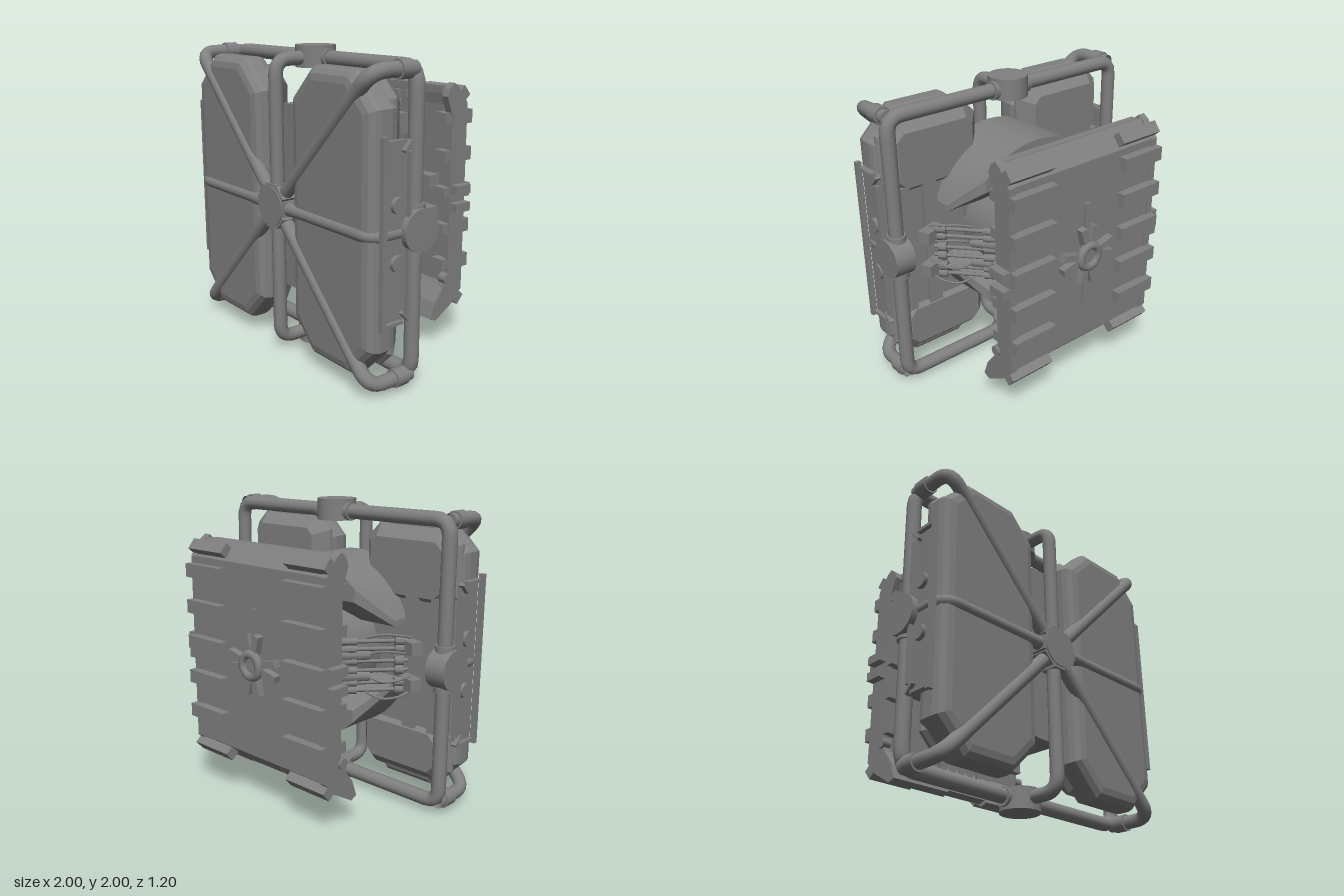
import * as THREE from 'three';

const mat = new THREE.MeshStandardMaterial({ color: 0x808080, side: THREE.DoubleSide });
const V = (x, y, z) => new THREE.Vector3(x, y, z);
const SIDES = [-1, 1];

export function createModel() {
  const root = new THREE.Group();

  function add(name, geo, x = 0, y = 0, z = 0) {
    const m = new THREE.Mesh(geo, mat);
    m.name = name;
    m.position.set(x, y, z);
    root.add(m);
    return m;
  }
  const box = (name, w, h, d, x, y, z) => add(name, new THREE.BoxGeometry(w, h, d), x, y, z);

  // straight cylinder between two points
  function rod(name, a, b, r, sides = 10, rEnd = r) {
    const m = add(name, new THREE.CylinderGeometry(rEnd, r, a.distanceTo(b), sides));
    m.position.lerpVectors(a, b, 0.5);
    m.quaternion.setFromUnitVectors(V(0, 1, 0), b.clone().sub(a).normalize());
    return m;
  }

  // pipe through corner points with rounded bends
  function pipe(name, pts, r, bend, closed = false) {
    const path = new THREE.CurvePath();
    const n = pts.length;
    const toward = (a, b) => a.clone().add(b.clone().sub(a).setLength(bend));
    let last = closed ? toward(pts[0], pts[1]) : pts[0];
    for (let i = 1; i < (closed ? n + 1 : n - 1); i++) {
      const p = pts[i % n], next = pts[(i + 1) % n];
      const a = toward(p, pts[i - 1]), b = toward(p, next);
      path.add(new THREE.LineCurve3(last, a));
      path.add(new THREE.QuadraticBezierCurve3(a, p, b));
      last = b;
    }
    if (!closed) path.add(new THREE.LineCurve3(last, pts[n - 1]));
    return add(name, new THREE.TubeGeometry(path, closed ? 160 : 56, r, 12, closed));
  }
  const hose = (pts, r) => add('hose', new THREE.TubeGeometry(new THREE.CatmullRomCurve3(pts), 14, r, 6));

  // outline in x, y extruded along z from z0 to z1, bevel kept inside the outline
  function slab(name, pts, z0, z1, bevel, thick, segs) {
    const geo = new THREE.ExtrudeGeometry(new THREE.Shape(pts.map(p => new THREE.Vector2(...p))), {
      depth: z1 - z0 - 2 * thick, bevelSize: bevel, bevelOffset: -bevel, bevelThickness: thick, bevelSegments: segs });
    geo.translate(0, 0, z0 + thick);
    return add(name, geo);
  }
  // outline in z, y extruded across x
  function crossSlab(name, pts, width, x = 0) {
    const geo = new THREE.ExtrudeGeometry(new THREE.Shape(pts.map(p => new THREE.Vector2(...p))),
      { depth: width, bevelEnabled: false });
    geo.translate(0, 0, -width / 2).rotateY(-Math.PI / 2);
    return add(name, geo, x);
  }
  const octagon = (s, x0, x1, y0, y1, c) => [[x0 + c, y0], [x1 - c, y0], [x1, y0 + c], [x1, y1 - c],
    [x1 - c, y1], [x0 + c, y1], [x0, y1 - c], [x0, y0 + c]].map(([x, y]) => [s * x, y]);

  // tubular cage: rear ring, spokes and hubs
  pipe('frameRing', [V(-0.92, 0.085, 0.215), V(0.92, 0.085, 0.215), V(0.92, 1.92, 0.215), V(-0.92, 1.92, 0.215)], 0.048, 0.1, true);
  for (const s of SIDES) {
    pipe('sideSpoke', [V(0, 1, 0.545), V(s * 0.93, 1, 0.545), V(s * 0.93, 1, 0.22)], 0.04, 0.1);
    rod('spokeSleeve', V(s * 0.1, 1, 0.545), V(s * 0.3, 1, 0.545), 0.048, 12, 0.04);
    pipe('uprightSpoke', [V(0, 1, 0.535), V(0, 1 + s * 0.92, 0.535), V(0, 1 + s * 0.92, 0.22)], 0.045, 0.1);
    for (const t of SIDES) {
      pipe('diagonalSpoke', [V(0, 1, 0.54), V(s * 0.91, 1 + t * 0.915, 0.54), V(s * 0.91, 1 + t * 0.915, 0.22)], 0.046, 0.11);
      add('cornerCollar', new THREE.CylinderGeometry(0.058, 0.058, 0.09, 12).rotateX(Math.PI / 2), s * 0.91, 1 + t * 0.915, 0.31);
      rod('frameCollar', V(s * 0.11, 1 + t * 0.92, 0.215), V(s * 0.145, 1 + t * 0.92, 0.215), 0.062, 16);
      rod('frameCollar', V(s * 0.92, 1 + t * 0.11, 0.215), V(s * 0.92, 1 + t * 0.15, 0.215), 0.062, 16);
    }
    add('sideHub', new THREE.CylinderGeometry(0.13, 0.13, 0.14, 28).rotateZ(Math.PI / 2), s * 0.93, 1, 0.225);
    add('endHub', new THREE.CylinderGeometry(0.13, 0.13, 0.14, 28), 0, 1 + s * 0.93, 0.225);
  }
  add('frontHub', new THREE.CylinderGeometry(0.13, 0.13, 0.13, 24).rotateX(Math.PI / 2), 0, 1, 0.535);
  for (let i = 0; i < 8; i++) {
    const a = i * Math.PI / 4;
    const m = box('hubSocket', 0.05, 0.1, 0.115, Math.cos(a) * 0.12, 1 + Math.sin(a) * 0.12, 0.535);
    m.rotation.z = a;
  }

  // paired tanks with rear caps and a recessed back
  for (const s of SIDES) {
    slab('tank', octagon(s, 0.17, 0.945, 0.1, 1.91, 0.2), 0.34, 0.565, 0.08, 0.075, 3);
    for (const [y0, y1] of [[0.15, 0.6], [1.32, 1.86]])
      slab('tankRearCap', octagon(s, 0.18, 0.92, y0, y1, 0.1), 0.26, 0.48, 0.09, 0.1, 1);
    box('tankBack', 0.66, 0.9, 0.08, s * 0.55, 0.97, 0.33);
    for (const x of [0.3, 0.62, 0.82]) box('tankBackRail', 0.1, 0.9, 0.06, s * x, 0.97, 0.29);

    // side panel with raised border and round caps
    box('sidePanel', 0.025, 1.06, 0.19, s * 0.945, 1, 0.4);
    box('sidePanelEdge', 0.035, 1.13, 0.03, s * 0.98, 1.005, 0.505);
    box('sidePanelEdge', 0.04, 0.94, 0.02, s * 0.965, 1, 0.305);
    for (const t of SIDES) {
      box('sidePanelEdge', 0.04, 0.02, 0.15, s * 0.965, 1 + t * 0.53, 0.42);
      box('sidePanelEdge', 0.04, 0.02, 0.08, s * 0.965, 1 + t * 0.5, 0.325).rotation.x = t * 0.79;
      rod('sideCap', V(s * 0.94, 1 + t * 0.17, 0.385), V(s * 0.985, 1 + t * 0.17, 0.385), 0.05, 20);
    }
  }

  // arched core lobes above and below the centre, narrowing and notched toward the back
  for (const t of SIDES) {
    const lobe = new THREE.BoxGeometry(2, 2, 2, 20, 1, 2);
    const p = lobe.attributes.position;
    for (let i = 0; i < p.count; i++) {
      const [z, w, floor] = [[-0.07, 0.42, 0.36], [0.16, 0.565, 0.19], [0.44, 0.565, 0.19]][Math.round(p.getZ(i)) + 1];
      const x = p.getX(i) * w;
      const outer = p.getY(i) * t > 0;
      p.setXYZ(i, x, t * (outer ? Math.sqrt(0.61 ** 2 - x * x) : floor), z);
    }
    lobe.computeVertexNormals();
    add('coreLobe', lobe, 0, 1.03, 0);
  }

  // stepped neck from the core to the back plate
  for (const [r, z0, z1] of [[0.36, 0.42, -0.03], [0.3, -0.03, -0.14], [0.275, -0.14, -0.28], [0.23, -0.28, -0.42]])
    rod('neck', V(0, 1, z0), V(0, 1, z1), r, 24);

  // back plate: bent slab, edge rails and lower flaps
  const plate = [[-0.39, 1.73], [-0.43, 1.75], [-0.525, 1.63], [-0.525, 0.36], [-0.43, 0.28], [-0.37, 0.35], [-0.41, 0.42], [-0.41, 1.62]];
  const rail = [[-0.35, 1.68], [-0.37, 1.73], [-0.41, 1.765], [-0.45, 1.74], [-0.535, 1.63], [-0.535, 0.36], [-0.45, 0.27],
    [-0.3, 0.18], [-0.25, 0.2], [-0.29, 0.31], [-0.36, 0.4], [-0.4, 0.5], [-0.4, 1.55]];
  const flap = [[-0.5, 0.35], [-0.42, 0.25], [-0.3, 0.18], [-0.25, 0.2], [-0.29, 0.31], [-0.37, 0.41]];
  crossSlab('backPlate', plate, 1.16);
  crossSlab('centerFlap', flap.map(([z, y]) => [z - 0.02, y + 0.02]), 0.34);
  for (const s of SIDES) {
    crossSlab('plateRail', rail, 0.05, s * 0.59);
    crossSlab('plateFlap', flap, 0.4, s * 0.37);
    for (const y of [0.56, 0.805, 1.05, 1.295, 1.54]) {
      box('plateRib', 0.33, 0.09, 0.07, s * 0.45, y, -0.55);
      box('frontClamp', 0.1, 0.07, 0.07, s * 0.56, y, -0.385);
    }
    box('upperRib', 0.33, 0.08, 0.07, s * 0.45, 1.69, -0.505).rotation.x = 0.7;
    box('lowerRib', 0.33, 0.08, 0.07, s * 0.45, 0.3, -0.505).rotation.x = -0.7;
    for (const y of [0.95, 1.07]) box('sideBracket', 0.07, 0.06, 0.13, s * 0.635, y, -0.47);
    rod('flapPivot', V(s * 0.57, 0.46, -0.39), V(s * 0.63, 0.46, -0.39), 0.035, 12);
    // blocks along the upper and lower front edges
    for (let i = 0; i < 4; i++) for (const y of [0.4, 1.66])
      box('edgeBlock', 0.055, 0.05, 0.06, s * (0.04 + i * 0.08), y, -0.39);
  }
  box('upperBeam', 1.1, 0.05, 0.05, 0, 1.72, -0.39);

  // round boss with plain radial fins on the plate
  add('boss', new THREE.TorusGeometry(0.075, 0.03, 8, 16), 0, 1, -0.57);
  rod('bossCore', V(0, 1, -0.52), V(0, 1, -0.575), 0.07, 16);
  for (const s of SIDES) {
    box('longFin', 0.035, 0.3, 0.03, 0, 1 + s * 0.21, -0.535);
    for (const t of SIDES) {
      box('bossFin', 0.13, 0.045, 0.05, s * 0.15, 1 + t * 0.035, -0.55).rotation.z = s * t * 0.25;
      box('bossFin', 0.045, 0.12, 0.05, s * 0.035, 1 + t * 0.14, -0.55).rotation.z = -s * t * 0.25;
    }
  }

  // side linkages: struts, pistons and hoses from plate to frame
  for (const s of SIDES) {
    for (const t of SIDES) {
      const y = o => 1 + t * o;
      rod('strut', V(s * 0.32, y(0.07), -0.28), V(s * 0.53, y(0.07), -0.04), 0.055, 10, 0.035);
      for (const o of [0.03, 0.11, 0.16]) {
        const a = V(s * 0.33, y(o), -0.29), b = V(s * 0.7, y(o), 0.13);
        rod('pistonRod', a, b, 0.013, 8);
        rod('pistonSleeve', a.clone().lerp(b, 0.08), a.clone().lerp(b, 0.42), 0.026, 8);
        rod('pistonCollar', a.clone().lerp(b, 0.85), a.clone().lerp(b, 0.95), 0.032, 8);
      }
      box('linkBracket', 0.13, 0.07, 0.1, s * 0.35, y(0.14), -0.26).rotation.y = s * 0.7;
      rod('linkPin', V(s * 0.33, y(0.02), -0.25), V(s * 0.33, y(0.2), -0.25), 0.035, 10);
      box('frameBracket', 0.16, 0.08, 0.08, s * 0.71, y(0.12), 0.14).rotation.y = s * 0.35;
      for (const o of [0.07, 0.18])
        hose([V(s * 0.52, y(o), -0.06), V(s * 0.62, y(o + 0.03), -0.02), V(s * 0.69, y(o + 0.02), 0.06), V(s * 0.72, y(o), 0.14)], 0.008);
      box('linkMount', 0.2, 0.09, 0.1, s * 0.4, y(0.11), -0.37);

      // upper and lower linkages beside the neck
      const p = V(s * 0.14, y(0.22), -0.12), q = V(s * 0.14, y(0.48), -0.37);
      rod('tiltRod', p, q, 0.018, 8);
      rod('tiltSleeve', p.clone().lerp(q, 0.1), p.clone().lerp(q, 0.5), 0.04);
      rod('tiltCollar', p.clone().lerp(q, 0.6), p.clone().lerp(q, 0.72), 0.045);
      rod('tiltPin', V(s * 0.08, y(0.45), -0.33), V(s * 0.2, y(0.45), -0.33), 0.04);
      box('tiltMount', 0.12, 0.14, 0.09, s * 0.14, y(0.46), -0.38);
      for (const x of [0.09, 0.19])
        hose([V(s * x, y(0.25), -0.14), V(s * x, y(0.36), -0.18), V(s * x, y(0.45), -0.26), V(s * x, y(0.47), -0.36)], 0.009);
      hose([V(s * 0.17, y(0.48), -0.34), V(s * 0.17, y(0.58), -0.35), V(s * 0.17, y(0.68), -0.39)], 0.007);
    }
  }
  return root;
}
